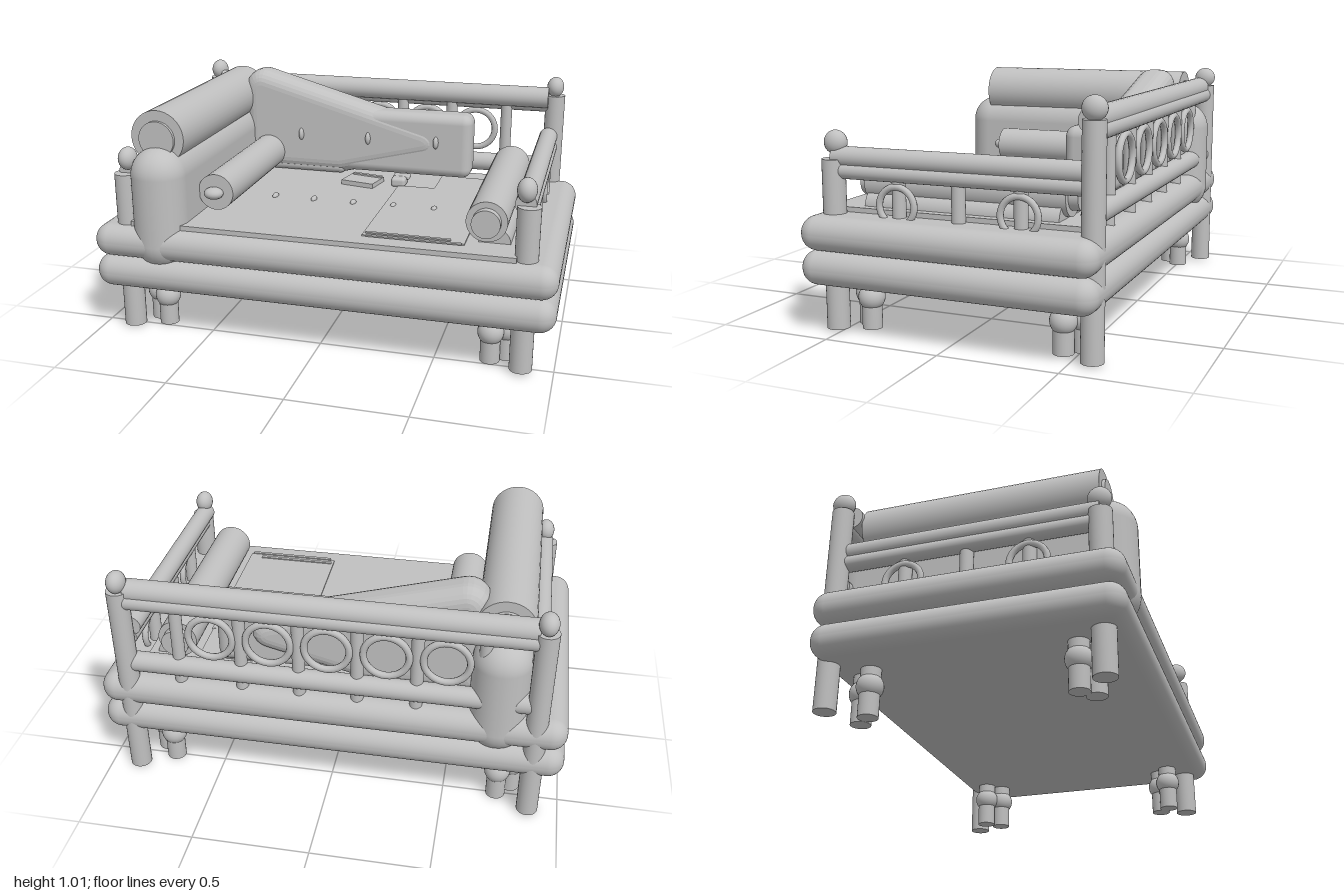
import * as THREE from 'three';
import { RoundedBoxGeometry } from 'three/addons/geometries/RoundedBoxGeometry.js';

export function createModel() {
  const g = new THREE.Group();
  g.name = 'daybed';
  const grey = new THREE.MeshStandardMaterial({ color: 0xc0c0c0 });
  grey.name = 'plain grey';

  const add = (name, geo, x, y, z) => {
    const m = new THREE.Mesh(geo, grey);
    m.name = name;
    m.position.set(x, y, z);
    g.add(m);
    return m;
  };
  const box = (name, w, h, d, x, y, z, r) =>
    add(name, r ? new RoundedBoxGeometry(w, h, d, 6, r) : new THREE.BoxGeometry(w, h, d), x, y, z);
  const ball = (name, rx, ry, rz, x, y, z) => {
    const m = add(name, new THREE.SphereGeometry(1, 24, 16), x, y, z);
    m.scale.set(rx, ry, rz);
    return m;
  };
  // Cylinders given by centre and span along one axis
  const post = (name, r, x, z, y0, y1) =>
    add(name, new THREE.CylinderGeometry(r, r, y1 - y0, 28), x, (y0 + y1) / 2, z);
  const barX = (name, r, y, z, x0, x1) => {
    const m = add(name, new THREE.CylinderGeometry(r, r, x1 - x0, 28), (x0 + x1) / 2, y, z);
    m.rotation.z = Math.PI / 2;
  };
  const barZ = (name, r, x, y, z0, z1) => {
    const m = add(name, new THREE.CylinderGeometry(r, r, z1 - z0, 36), x, y, (z0 + z1) / 2);
    m.rotation.x = Math.PI / 2;
  };

  // Bullnosed base slabs and seat
  box('lowerBase', 2, 0.145, 1.265, 0, 0.278, 0, 0.07);
  box('upperBase', 2, 0.145, 1.265, 0, 0.42, 0, 0.07);
  box('seatPad', 1.66, 0.06, 1.1, 0, 0.483, 0.025);

  // Corner posts, inner legs and side rails
  for (const s of [-1, 1]) {
    post('backPost', 0.046, s * 0.87, -0.585, 0.01, 0.92);
    ball('backFinial', 0.04, 0.048, 0.05, s * 0.868, 0.96, -0.585);
    post('frontPost', 0.048, s * 0.865, 0.525, 0.01, 0.715);
    ball('frontFinial', 0.04, 0.05, 0.05, s * 0.852, 0.78, 0.52);

    for (const [x, z] of [[0.73, 0.46], [0.79, 0.41], [0.73, -0.5], [0.79, -0.44]]) {
      post('innerLeg', 0.042, s * x, z, 0, 0.22);
      ball('legBulb', 0.056, 0.056, 0.056, s * x, 0.132, z);
    }

    barZ('sideTopRail', 0.043, s * 0.85, 0.722, -0.545, 0.525);
    barZ('sideUnderRail', 0.034, s * 0.86, 0.668, -0.55, 0.5);
    for (const z of [0.235, -0.027, -0.29]) post('sideSpindle', 0.028, s * 0.85, z, 0.47, 0.66);
    for (const z of [0.235, -0.29]) {
      const ring = add('sideRing', new THREE.TorusGeometry(0.078, 0.014, 10, 32), s * 0.87, 0.54, z);
      ring.rotation.y = Math.PI / 2;
    }
  }

  // Back railing with rings
  barX('backTopRail', 0.05, 0.91, -0.56, -0.84, 0.84);
  barX('backUnderRail', 0.036, 0.872, -0.585, -0.84, 0.84);
  barX('backLowerRail', 0.044, 0.565, -0.575, -0.86, 0.86);
  for (const x of [-0.64, -0.37, -0.123, 0.123, 0.37, 0.64])
    post('backSpindle', 0.027, x, -0.565, 0.47, 0.88);
  for (let i = -2; i <= 2; i++)
    add('backRing', new THREE.TorusGeometry(0.094, 0.015, 10, 36), i * 0.245, 0.73, -0.585);

  // Headrest: rounded upright body with a bolster on top
  box('headrest', 0.245, 0.54, 1.275, -0.708, 0.57, 0, 0.12);
  barZ('headBolster', 0.12, -0.71, 0.877, -0.515, 0.515);
  barZ('headBolsterCap', 0.08, -0.71, 0.872, -0.53, 0.53);

  // Small bolster with end buttons
  barZ('smallBolster', 0.081, -0.51, 0.612, -0.36, 0.385);
  ball('bolsterButton', 0.043, 0.027, 0.04, -0.513, 0.612, 0.4);

  // Foot bolster
  barZ('footBolster', 0.086, 0.69, 0.604, -0.44, 0.44);
  barZ('footBolsterCap', 0.06, 0.69, 0.604, -0.48, 0.475);
  barZ('footBolsterRoll', 0.066, 0.725, 0.512, -0.42, 0.43);

  // Sloping back cushion, its outline inset by the bevel
  const b = 0.07;
  const shape = new THREE.Shape();
  shape.moveTo(-0.57, 0.585);
  shape.lineTo(-0.15, 0.585);
  shape.lineTo(0.27, 0.69);
  shape.quadraticCurveTo(0.295, 0.7, 0.26, 0.715);
  shape.lineTo(-0.54, 0.942);
  shape.quadraticCurveTo(-0.57, 0.95, -0.575, 0.91);
  shape.closePath();
  const cushion = new THREE.ExtrudeGeometry(shape, {
    depth: 0.04, bevelEnabled: true, bevelSize: b, bevelThickness: b, bevelSegments: 6, curveSegments: 8,
  });
  add('backCushion', cushion, 0, 0, -0.43);
  box('rearPillow', 0.7, 0.31, 0.145, 0.155, 0.69, -0.398, 0.045);
  box('lowPillow', 0.5, 0.08, 0.12, -0.37, 0.555, -0.39, 0.03);
  for (const x of [-0.34, 0, 0.335]) ball('cushionButton', 0.013, 0.03, 0.02, x, 0.71, -0.322);

  // Seat buttons
  for (let i = 0; i < 6; i++) ball('seatButton', 0.013, 0.014, 0.026, -0.34 + i * 0.187, 0.515, 0.08);

  // Folded throw with border strips
  box('throw', 0.43, 0.008, 0.7, 0.395, 0.515, 0.14);
  box('throwBack', 0.25, 0.006, 0.22, 0.48, 0.515, -0.31);
  box('throwStripe', 0.36, 0.006, 0.016, 0.37, 0.521, 0.462);
  box('throwHem', 0.4, 0.006, 0.016, 0.4, 0.521, 0.497);

  // Book and cup on the seat
  box('book', 0.165, 0.022, 0.13, 0, 0.524, -0.225).rotation.y = -0.2;
  box('bookSpine', 0.15, 0.01, 0.02, 0.012, 0.537, -0.275).rotation.y = -0.2;
  box('cup', 0.07, 0.045, 0.09, 0.178, 0.533, -0.245, 0.015);
  box('cupLid', 0.08, 0.02, 0.05, 0.185, 0.548, -0.27, 0.008);

  return g;
}
